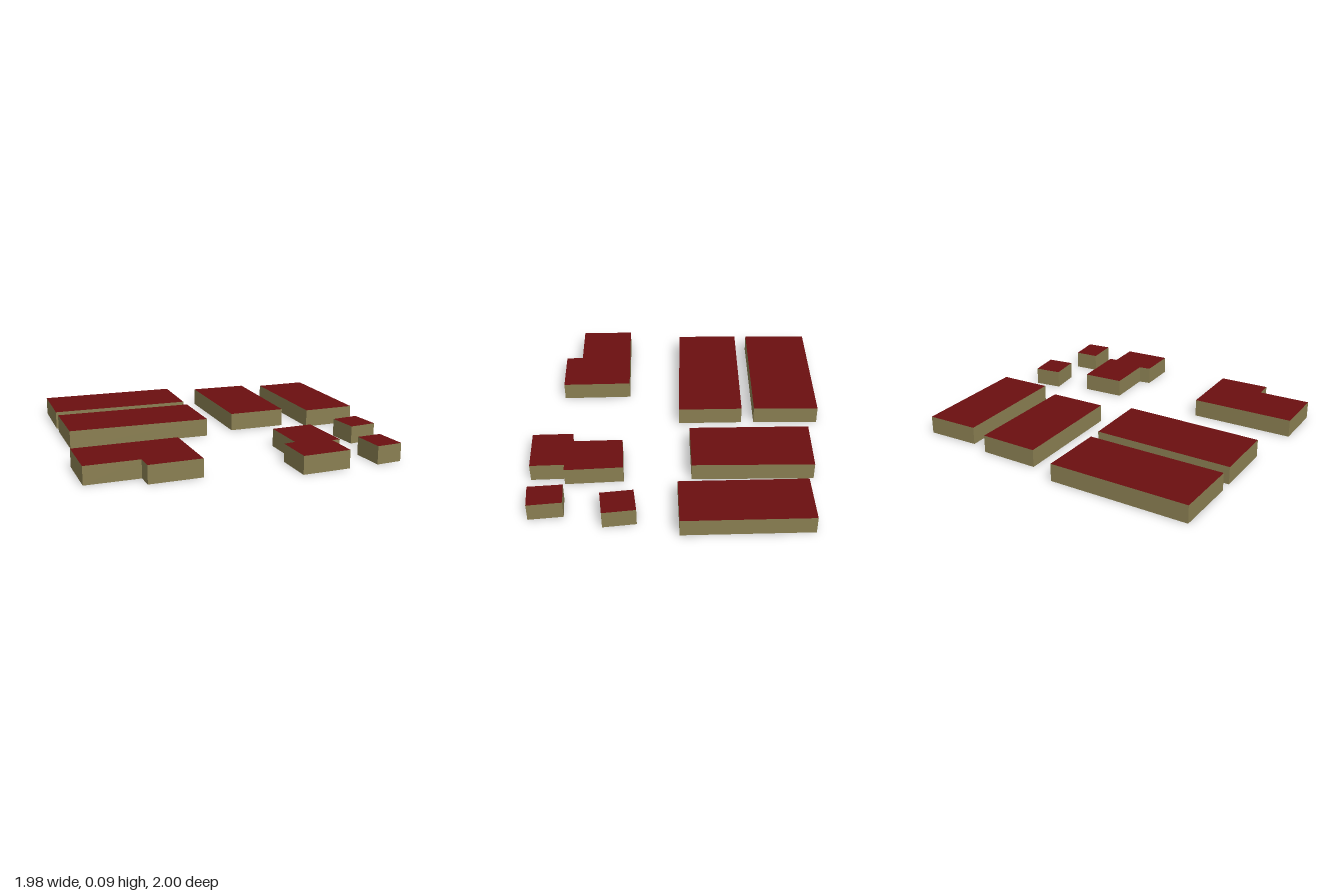
import * as THREE from 'three';

const HEIGHT = 0.09;

// Ground outlines as [x, z] corners, clockwise seen from above
const FOOTPRINTS = {
  backHall: [[-0.25, -1], [0.35, -0.61], [0.165, -0.33], [-0.435, -0.72]],
  middleHall: [[-0.47, -0.665], [0.13, -0.275], [-0.045, 0.005], [-0.645, -0.39]],
  innerLeftHall: [[0.44, -0.47], [0.69, -0.305], [0.365, 0.2], [0.115, 0.045]],
  outerLeftHall: [[0.755, -0.215], [0.985, -0.075], [0.655, 0.46], [0.425, 0.32]],
  cornerBuilding: [[-0.845, -0.175], [-0.395, 0.1], [-0.58, 0.405], [-0.805, 0.27], [-0.76, 0.195], [-0.99, 0.055]],
  steppedBuilding: [[0.01, 0.38], [0.195, 0.485], [0.055, 0.735], [0.02, 0.715],
    [-0.065, 0.86], [-0.275, 0.74], [-0.17, 0.565], [-0.115, 0.59]],
  rearShed: [[0.36, 0.525], [0.485, 0.585], [0.415, 0.73], [0.29, 0.67]],
  frontShed: [[0.145, 0.785], [0.255, 0.845], [0.18, 0.995], [0.065, 0.935]],
};

// One flat quad per outline edge, open at the bottom
function wallGeometry(outline) {
  const positions = [];
  outline.forEach(([ax, az], i) => {
    const [bx, bz] = outline[(i + 1) % outline.length];
    positions.push(
      bx, 0, bz, ax, 0, az, ax, HEIGHT, az,
      bx, 0, bz, ax, HEIGHT, az, bx, HEIGHT, bz);
  });
  const geometry = new THREE.BufferGeometry();
  geometry.setAttribute('position', new THREE.Float32BufferAttribute(positions, 3));
  geometry.computeVertexNormals();
  return geometry;
}

function roofGeometry(outline) {
  const shape = new THREE.Shape(outline.map(([x, z]) => new THREE.Vector2(x, -z)));
  return new THREE.ShapeGeometry(shape).rotateX(-Math.PI / 2).translate(0, HEIGHT, 0);
}

export function createModel() {
  const model = new THREE.Group();
  model.name = 'buildingBlocks';
  const wallMaterial = new THREE.MeshStandardMaterial({ color: 0x8a7f52, side: THREE.DoubleSide });
  const roofMaterial = new THREE.MeshStandardMaterial({ color: 0x6b0f10, side: THREE.DoubleSide });

  for (const [name, outline] of Object.entries(FOOTPRINTS)) {
    const building = new THREE.Group();
    building.name = name;
    const walls = new THREE.Mesh(wallGeometry(outline), wallMaterial);
    walls.name = 'walls';
    const roof = new THREE.Mesh(roofGeometry(outline), roofMaterial);
    roof.name = 'flatRoof';
    building.add(walls, roof);
    model.add(building);
  }
  return model;
}
